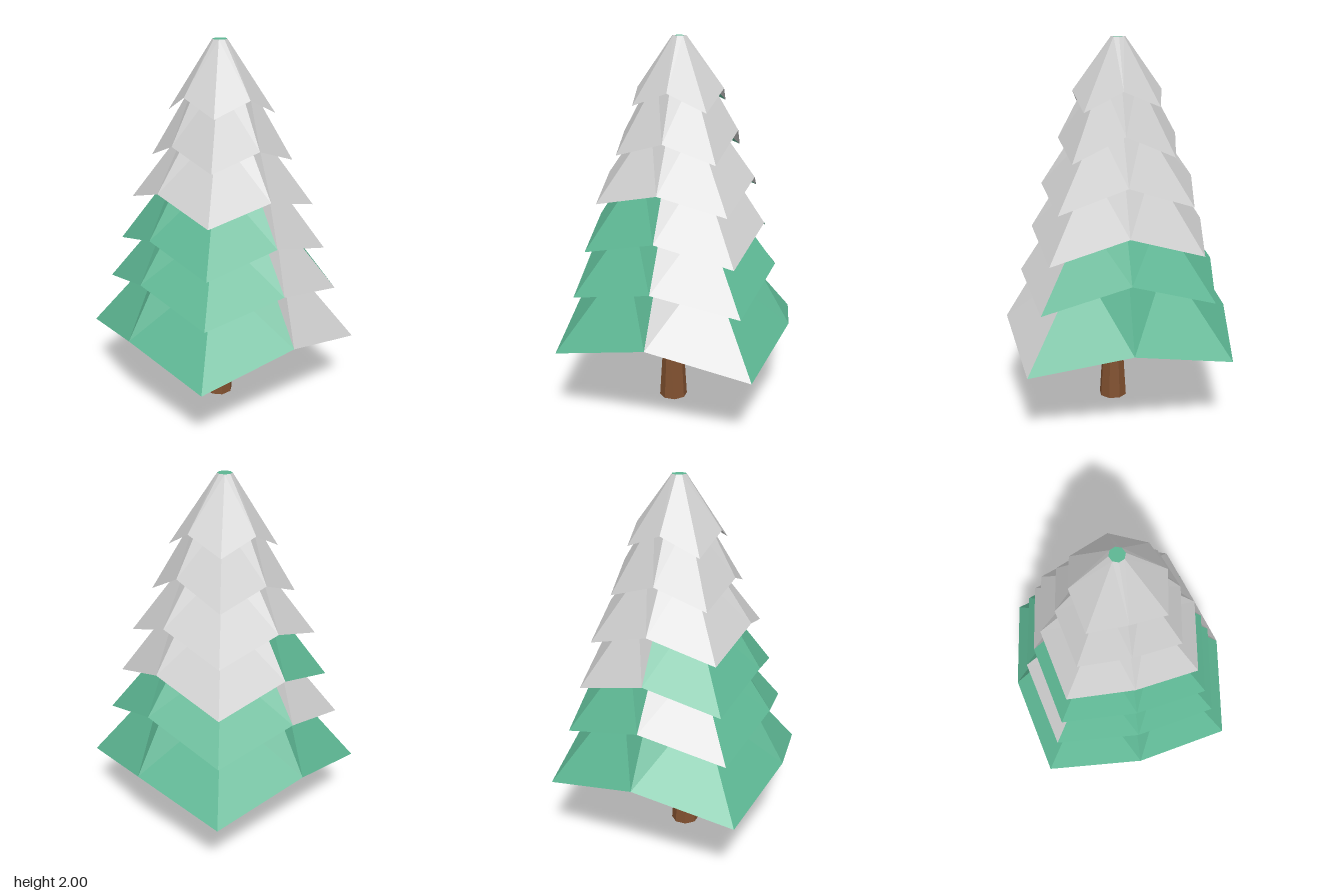
import * as THREE from 'three';

// Corner k sits at k * 45 degrees, running +x, front-left, +z, front-right, -x ...
// Even corners are the drooping tips, odd corners the raised notches.
const SIDES = 8;

// tip: tip radius, notch: x and z of the notch corners, y: height of the x tips,
// notchY: notch heights, top: radii and height where the tier slips under the next,
// green: sectors that are coloured on the outside and on the underside
const ALL = [0, 1, 2, 3, 4, 5, 6, 7];
const TIERS = [
  { tip: 0.735, notch: 0.43, y: 0.38, notchY: [0.52, 0.50, 0.52, 0.50], top: [0.32, 0.39, 0.87], green: [1, 2, 3, 4, 5, 6, 7], under: ALL },
  { tip: 0.625, notch: 0.37, y: 0.67, notchY: [0.78, 0.80, 0.80, 0.83], top: [0.28, 0.31, 1.10], green: [1, 2, 3, 5, 6, 7], under: ALL },
  { tip: 0.555, notch: 0.325, y: 0.905, notchY: [1.02, 1.03, 1.03, 1.05], top: [0.225, 0.25, 1.35], green: [1, 2, 3, 4], under: ALL },
  { tip: 0.485, notch: 0.285, y: 1.15, notchY: [1.25, 1.27, 1.27, 1.29], top: [0.17, 0.19, 1.57], green: [], under: [5] },
  { tip: 0.37, notch: 0.22, y: 1.39, notchY: [1.49, 1.50, 1.50, 1.53], top: [0.13, 0.145, 1.80], green: [], under: [5] },
  { tip: 0.275, notch: 0.165, y: 1.635, notchY: [1.73, 1.735, 1.735, 1.74], top: [0.038, 0.038, 2], green: [], under: [5] },
];

// Eight corners from a rule for radius and height
function ring(radius, height, cx = 0) {
  return ALL.map((k) => {
    const a = (k * Math.PI) / 4;
    return [cx + radius(k) * Math.cos(a), height(k), radius(k) * Math.sin(a)];
  });
}

const tipRing = (t) => ring(
  (k) => (k % 2 ? t.notch * Math.SQRT2 : t.tip),
  (k) => (k % 2 ? t.notchY[(k - 1) / 2] : t.y + (k % 4 === 2 ? 0.023 : 0)));

const innerRing = ([rTip, rNotch, y], cx) => ring((k) => (k % 2 ? rNotch : rTip), () => y, cx);

// Joins two rings; each sector goes to the coloured or the grey list
function band(lower, upper, green, lists) {
  for (let k = 0; k < SIDES; k++) {
    const n = (k + 1) % SIDES;
    const out = green.includes(k) ? lists.green : lists.grey;
    const [a, b, c, d] = [lower[k], lower[n], upper[k], upper[n]];
    if (k % 2) out.push(...a, ...c, ...d, ...a, ...d, ...b);
    else out.push(...a, ...c, ...b, ...c, ...d, ...b);
  }
}

function meshFrom(points, material, name) {
  const g = new THREE.BufferGeometry();
  g.setAttribute('position', new THREE.Float32BufferAttribute(points, 3));
  g.computeVertexNormals();
  const mesh = new THREE.Mesh(g, material);
  mesh.name = name;
  return mesh;
}

export function createModel() {
  const model = new THREE.Group();
  model.name = 'pineTree';
  const material = (color) => new THREE.MeshStandardMaterial({ color, flatShading: true });
  const greenMat = material(0x5cb592);
  const greyMat = material(0xcccccc);
  const barkMat = material(0x80502f);

  // Foliage: underside and sloping skirt of each tier, from the bottom up
  const foliage = new THREE.Group();
  foliage.name = 'foliage';
  let inner = innerRing([0.42, 0.42, 0.58]);
  const floor = inner.map(() => [0, 0.58, 0]);
  TIERS.forEach((t, i) => {
    const lists = { green: [], grey: [] };
    const last = i === TIERS.length - 1;
    const tips = tipRing(t);
    const top = innerRing(t.top, last ? -0.008 : 0);
    if (i === 0) band(floor, inner, ALL, lists);
    band(inner, tips, t.under, lists);
    band(tips, top, t.green, lists);
    if (last) band(top, top.map(() => [-0.008, 2, 0]), ALL, lists);
    const tier = new THREE.Group();
    tier.name = `tier${i + 1}`;
    if (lists.green.length) tier.add(meshFrom(lists.green, greenMat, 'greenBranches'));
    if (lists.grey.length) tier.add(meshFrom(lists.grey, greyMat, 'greyBranches'));
    foliage.add(tier);
    inner = top;
  });
  model.add(foliage);

  // Trunk: eight-sided, narrowing to a neck and flaring into the foliage
  const profile = [[0, 0], [0.077, 0], [0.052, 0.4], [0.074, 0.59]].map(([r, y]) => new THREE.Vector2(r, y));
  const trunk = new THREE.Mesh(new THREE.LatheGeometry(profile, SIDES, Math.PI / 8), barkMat);
  trunk.name = 'trunk';
  trunk.position.set(-0.01, 0, 0.038);
  model.add(trunk);

  return model;
}
